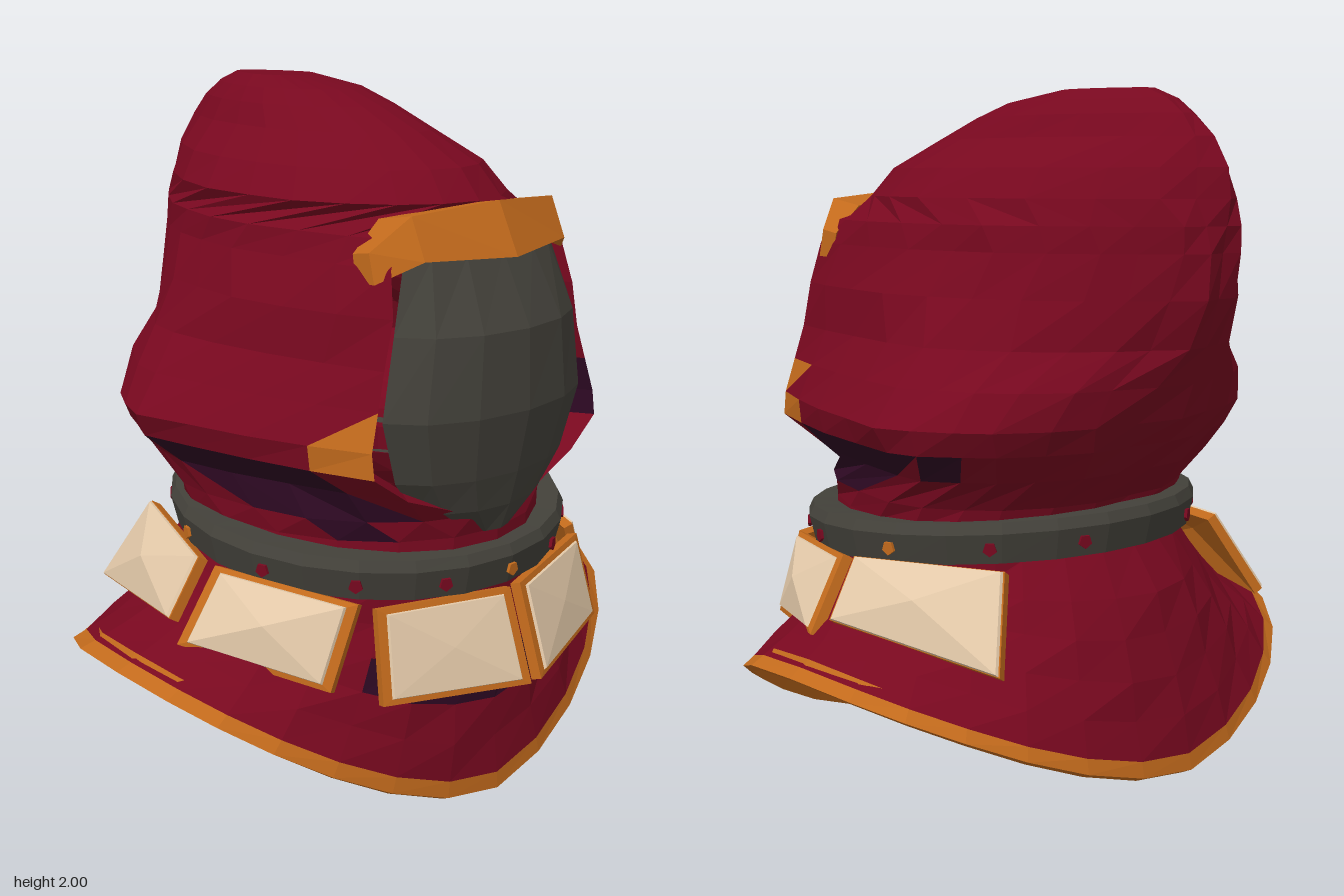
import * as THREE from 'three';

const mat = (name, color) => {
  const m = new THREE.MeshStandardMaterial({ color, flatShading: true, side: THREE.DoubleSide });
  m.name = name;
  return m;
};
const M = {
  red: mat('crimson cloth', 0x78081f),
  purple: mat('shadow purple cloth', 0x2e0923),
  orange: mat('orange trim', 0xc26a1c),
  cream: mat('cream panel', 0xe2c8a8),
  grey: mat('dark leather', 0x43413a),
};
const V = (x, y, z) => new THREE.Vector3(x, y, z);

// Skin rows of points (bottom to top); pick(row, col, half) gives the colour of each triangle
function loft(name, rows, pick, closed = false) {
  const group = new THREE.Group();
  group.name = name;
  const buckets = {};
  for (let j = 0; j < rows.length - 1; j++) {
    const n = rows[j].length;
    for (let i = 0; i < (closed ? n : n - 1); i++) {
      const k = (i + 1) % n;
      const a = rows[j][i], b = rows[j][k], c = rows[j + 1][k], d = rows[j + 1][i];
      [[a, b, c], [a, c, d]].forEach((tri, h) => {
        if (new THREE.Triangle(...tri).getArea() < 1e-7) return;
        const out = (buckets[pick(j, i, h)] ??= []);
        tri.forEach(p => out.push(p.x, p.y, p.z));
      });
    }
  }
  for (const key in buckets) {
    const g = new THREE.BufferGeometry();
    g.setAttribute('position', new THREE.Float32BufferAttribute(buckets[key], 3));
    g.computeVertexNormals();
    const mesh = new THREE.Mesh(g, M[key]);
    mesh.name = `${name} ${key}`;
    group.add(mesh);
  }
  return group;
}

// Hood: horizontal U-shaped rings, open at the face and closed at the crown
function hood() {
  // y, half width, front z, back z, half width of the opening
  const data = [
    [0.71, 0.53, 0.60, -0.44, 0],
    [0.82, 0.52, 0.60, -0.43, 0],
    [0.88, 0.53, 0.60, -0.45, 0.10],
    [0.97, 0.57, 0.58, -0.52, 0.33],
    [1.05, 0.64, 0.57, -0.57, 0.44],
    [1.12, 0.67, 0.56, -0.61, 0.44],
    [1.22, 0.60, 0.55, -0.65, 0.41],
    [1.32, 0.53, 0.54, -0.70, 0.38],
    [1.45, 0.48, 0.54, -0.75, 0.35],
    [1.57, 0.43, 0.51, -0.76, 0.33],
    [1.64, 0.42, 0.50, -0.76, 0.29],
    [1.71, 0.39, 0.50, -0.755, 0],
    [1.79, 0.33, 0.43, -0.74, 0],
    [1.87, 0.23, 0.27, -0.70, 0],
    [1.93, 0.19, 0.12, -0.64, 0],
    [1.97, 0.15, 0.00, -0.58, 0],
    [2.00, 0.09, -0.20, -0.50, 0],
  ];
  const N = 22;
  const rows = data.map(([y, w, zf, zb, g], j) => {
    const cheek = y > 0.9 && y < 1.4;
    const zc = cheek ? -0.12 : Math.min(-0.05, (zf + zb) / 2 + 0.05);
    const t0 = Math.asin(g / w), front = (zf - zc) / Math.cos(t0);
    const lip = Math.max(0, g - 0.05);
    const pts = [V(lip, y, zf - 0.08)];
    for (let i = 0; i <= N; i++) {
      const t = t0 + (2 * Math.PI - 2 * t0) * i / N, c = Math.cos(t);
      // small cloth folds, and a narrow ridge at the back of the head
      const fold = i > 1 && i < N - 1 && j > 1 ? 1 + 0.025 * Math.sin(i * 2.3 + j * 0.9) * Math.sin(t / 2) : 1;
      const ridge = c < 0 && y > 1.25 ? 1 - 0.35 * c * c : 1;
      const p = V(w * Math.sin(t) * fold * ridge, y, zc + c * (c > 0 ? front : (zc - zb) * (2 - fold)));
      // straighter cheeks beside the opening
      if (cheek && c > 0) {
        const u = (Math.min(t, 2 * Math.PI - t) - t0) / (Math.PI / 2 - t0);
        p.lerp(V(Math.sign(p.x) * (g + (w - g) * u), y, zf + (zc - zf) * u), 0.6);
      }
      pts.push(p);
    }
    pts.push(V(-lip, y, zf - 0.08));
    return pts;
  });
  rows.push(rows.at(-1).map(() => V(0, 2.0, -0.36)));
  return loft('hood', rows, (j, i, h) => {
    const side = Math.min(i, N + 1 - i);
    if (side === 0) return j === 4 || j === 5 ? 'purple' : 'red';
    if (side === 1 && (j === 4 || (j === 5 && h === (i === 1 ? 1 : 0)))) return 'orange';
    if (j === 1 && side === 3) return 'purple';
    if (j === 2 && side >= 2 && side <= 4) return 'purple';
    if (j === 3 && side >= 2 && side <= 6 && !(side === 5 && h === 0)) return 'purple';
    return 'red';
  });
}

// Face mask: shallow faceted shell
function mask() {
  const data = [[0.82, 0.10, 0.61], [0.90, 0.24, 0.64], [1.00, 0.32, 0.665],
    [1.18, 0.375, 0.70], [1.40, 0.335, 0.69], [1.59, 0.28, 0.59]];
  const rows = data.map(([y, w, zf]) => [-1, -0.8, -0.45, 0, 0.45, 0.8, 1].map(u =>
    V(u * w, y, 0.48 + (zf - 0.48) * Math.sqrt(1 - 0.95 * u * u))));
  return loft('faceMask', rows, () => 'grey');
}

// Brim: bent bar across the top of the opening
function brim() {
  const half = [
    [0, [1.58, 0.64], [1.57, 0.52], [1.70, 0.46], [1.72, 0.57]],
    [0.27, [1.59, 0.57], [1.57, 0.45], [1.68, 0.40], [1.70, 0.52]],
    [0.36, [1.53, 0.48], [1.53, 0.41], [1.60, 0.40], [1.61, 0.46]],
  ];
  const make = ([x, ...p], s) => p.map(([y, z]) => V(s * x, y, z));
  const rows = [make(half[2], -1), make(half[1], -1), make(half[0], 1), make(half[1], 1), make(half[2], 1)];
  const centre = r => r.map(() => r[0].clone().add(r[2]).multiplyScalar(0.5));
  return loft('brim', [centre(rows[0]), ...rows, centre(rows[4])], () => 'orange', true);
}

// Collar band, tilted down at the front, with small studs
const bandY = t => 0.765 - 0.04 * Math.cos(t);
function collar() {
  const ring = (r, dy) => Array.from({ length: 24 }, (_, i) => {
    const t = i / 24 * Math.PI * 2;
    return V(r * Math.sin(t), bandY(t) + dy, 0.07 + r * Math.cos(t));
  });
  const group = loft('collar', [ring(0.51, -0.05), ring(0.57, -0.055), ring(0.59, 0.03),
    ring(0.575, 0.06), ring(0.49, 0.06)], () => 'grey', true);
  [0, 0.38, 0.8, 1.25, 1.8, 2.3, 2.75].forEach((a, k) => {
    for (const s of a ? [1, -1] : [1]) {
      const stud = new THREE.Mesh(new THREE.CylinderGeometry(0.02, 0.02, 0.009, 5).rotateX(Math.PI / 2),
        k % 4 ? M.red : M.orange);
      stud.name = 'stud';
      stud.position.set(0.588 * Math.sin(a) * s, bandY(a) - 0.01, 0.07 + 0.588 * Math.cos(a));
      stud.rotation.y = a * s;
      group.add(stud);
    }
  });
  return group;
}

// Mantle: flares from the collar to a curved hem with a folded trim
const capePoint = (t, s) => {
  const c = Math.cos(t), sn = Math.sin(t), cz = Math.sign(c) * Math.abs(c) ** 0.75;
  const low = c > 0 ? 0.02 : 0.02 + 0.11 * Math.min(1, -c * 2);
  const hem = V(0.87 * sn, low + (0.45 - low) * Math.abs(sn) ** 1.6, cz * (c > 0 ? 0.63 : 0.68));
  const top = V(0.54 * sn, 0.71 - 0.03 * c, 0.07 + 0.53 * c);
  const f = s ** (1.7 - 1.1 * Math.max(0, -c) ** 2);
  return V(top.x + (hem.x - top.x) * f, top.y + (hem.y - top.y) * s, top.z + (hem.z - top.z) * f);
};
function mantle() {
  const N = 28;
  const ring = fn => Array.from({ length: N }, (_, i) => fn(i / N * Math.PI * 2));
  const lip = ring(t => capePoint(t, 1).multiply(V(0.93, 1, 0.87))
    .add(V(0, 0.04 + 0.06 * Math.max(0, Math.cos(t)) ** 3, 0)));
  const edge = ring(t => capePoint(t, 1).multiply(V(0.97, 1, 0.95)).add(V(0, -0.018, 0)));
  const rows = [lip, edge, ...[1, 0.925, 0.75, 0.57, 0.38, 0.2, 0].map((s, j) => ring(t => {
    const p = capePoint(t, s), k = j > 1 && j < 6 ? 1 + 0.012 * Math.sin(t * 9 + j * 2) : 1;
    return p.multiply(V(k, 1, k));
  }))];
  return loft('mantle', rows, (j, i) => {
    if (j < 3) return 'orange';
    return j === 5 && (i < 3 || i >= N - 3) ? 'purple' : 'red';
  }, true);
}

// Pale lining inside the front half of the mantle
function lining() {
  const rows = [0.42, 0.22, 0.02].map(s => Array.from({ length: 15 }, (_, i) =>
    capePoint((i / 14 - 0.5) * 3.6, s).multiply(V(0.96, 1, 0.95))));
  return loft('lining', rows, () => 'cream');
}

// Hanging panel: bulged orange-rimmed slab with a cream plate; corners TL, TR, BR, BL from outside
function panel(corners, bulge, rim) {
  const [tl, tr, br, bl] = corners.map(p => V(...p));
  const n = tr.clone().sub(bl).cross(tl.clone().sub(br)).normalize();
  const mid = tl.clone().add(tr).add(br).add(bl).multiplyScalar(0.25).addScaledVector(n, bulge);
  const outline = [bl, br, tr, tl];
  const shift = (k, d) => outline.map(p => p.clone().lerp(mid, k).addScaledVector(n, d));
  const group = new THREE.Group();
  group.name = 'hangingPanel';
  group.add(loft('panelRim', [shift(1, -0.03), shift(0, -0.03), shift(0, 0), shift(1, 0)], () => 'orange', true));
  group.add(loft('panelFace', [shift(rim, 0.001), shift(rim + 0.02, 0.008), shift(1, 0.009)], () => 'cream', true));
  return group;
}

export function createModel() {
  const model = new THREE.Group();
  model.name = 'hoodedCowl';
  model.add(hood(), mask(), brim(), collar(), mantle(), lining());
  const panels = [
    { bulge: 0.01, rim: 0.12, at: [[0.02, 0.67, 0.67], [0.41, 0.68, 0.55], [0.44, 0.43, 0.61], [0.02, 0.41, 0.76]] },
    { bulge: 0.04, rim: 0.12, at: [[0.44, 0.69, 0.51], [0.60, 0.72, 0.10], [0.73, 0.52, 0.09], [0.53, 0.46, 0.50]] },
    { bulge: 0.04, rim: 0.015, at: [[0.61, 0.73, 0.04], [0.46, 0.74, -0.40], [0.58, 0.50, -0.50], [0.71, 0.57, 0.03]] },
  ];
  const flip = ([x, y, z]) => [-x, y, z];
  for (const { bulge, rim, at: [tl, tr, br, bl] } of panels) {
    model.add(panel([tl, tr, br, bl], bulge, rim), panel([tr, tl, bl, br].map(flip), bulge, rim));
  }
  return model;
}
